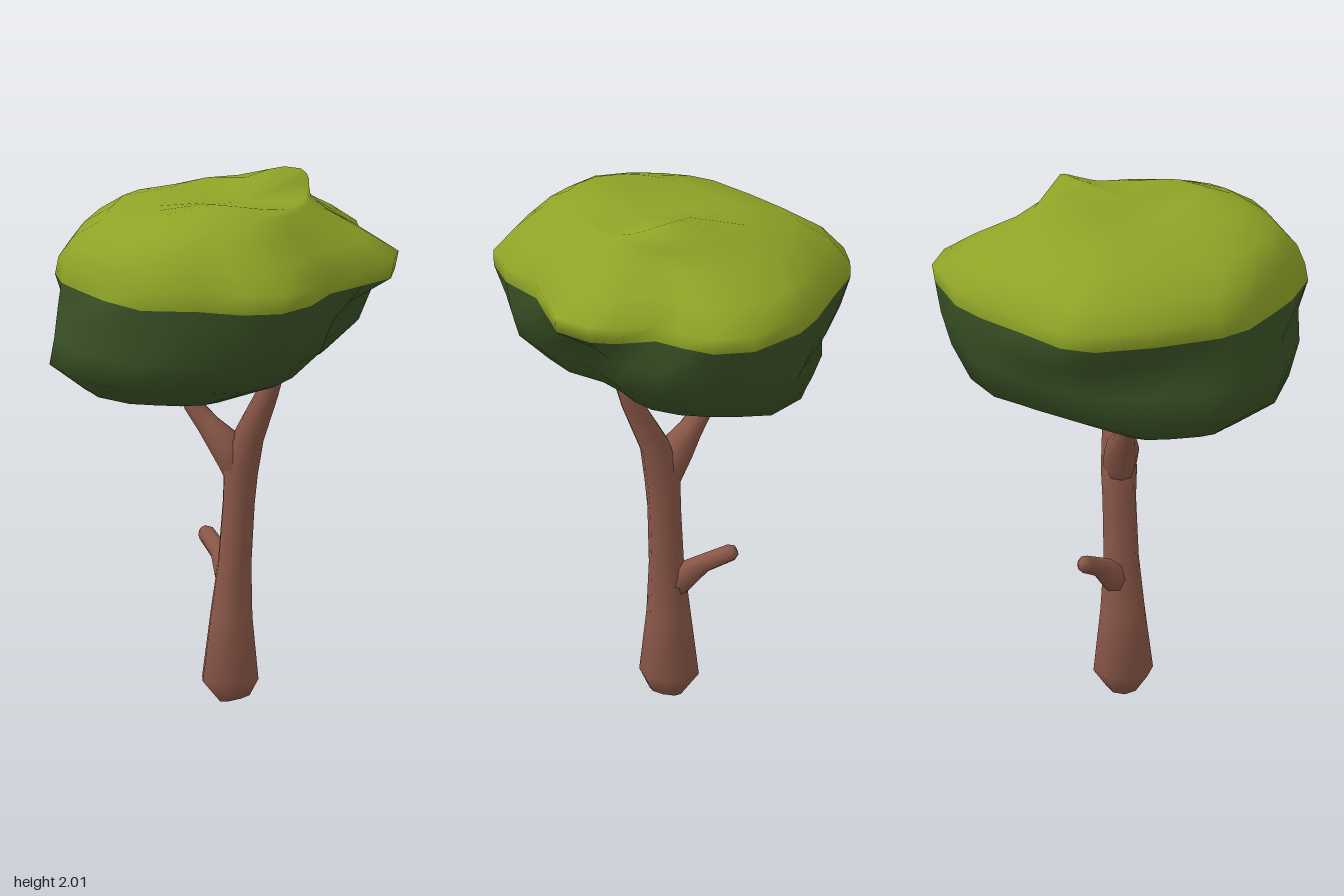
import * as THREE from 'three';

const bark = new THREE.MeshStandardMaterial({ color: 0x8a5748 });
bark.name = 'bark brown';
const leafLight = new THREE.MeshStandardMaterial({ color: 0x8fa326 });
leafLight.name = 'leaf light green';
const leafDark = new THREE.MeshStandardMaterial({ color: 0x3a5226 });
leafDark.name = 'leaf dark green';

// Skin a closed stack of rings (arrays of Vector3), from bottom point to top point
function loft(rings, bottom, top) {
  const n = rings[0].length;
  const points = [...rings.flat(), bottom, top];
  const b = points.length - 2, t = points.length - 1, last = (rings.length - 1) * n;
  const index = [];
  for (let j = 0; j < n; j++) index.push(b, j, (j + 1) % n);
  for (let i = 0; i < rings.length - 1; i++) {
    for (let j = 0; j < n; j++) {
      const a0 = i * n + j, a1 = i * n + (j + 1) % n;
      index.push(a0, a0 + n, a1, a1, a0 + n, a1 + n);
    }
  }
  for (let j = 0; j < n; j++) index.push(t, last + (j + 1) % n, last + j);
  const geometry = new THREE.BufferGeometry().setFromPoints(points);
  geometry.setIndex(index);
  geometry.computeVertexNormals();
  return geometry;
}

// Tapered limb along [x, y, z, radius] stations
function limb(name, stations, sides = 8) {
  const centres = stations.map(([x, y, z]) => new THREE.Vector3(x, y, z));
  const up = new THREE.Vector3(0, 1, 0);
  const rings = centres.map((c, i) => {
    const from = centres[Math.max(i - 1, 0)], to = centres[Math.min(i + 1, centres.length - 1)];
    const turn = new THREE.Quaternion().setFromUnitVectors(up, to.clone().sub(from).normalize());
    return Array.from({ length: sides }, (_, j) => {
      const a = (j / sides) * Math.PI * 2, r = stations[i][3];
      return new THREE.Vector3(Math.cos(a) * r, 0, Math.sin(a) * r).applyQuaternion(turn).add(c);
    });
  });
  const mesh = new THREE.Mesh(loft(rings, centres[0], centres[centres.length - 1]), bark);
  mesh.name = name;
  return mesh;
}

// Plan outlines of the crown (x, z pairs), starting at the back and running clockwise
const upperOutline = [
  0.14, -0.69, 0.28, -0.62, 0.34, -0.5, 0.38, -0.39, 0.52, -0.32, 0.59, -0.25, 0.63, -0.1, 0.57, 0.04,
  0.5, 0.2, 0.5, 0.39, 0.44, 0.55, 0.31, 0.62, 0.14, 0.63, -0.07, 0.69, -0.25, 0.6, -0.38, 0.5,
  -0.5, 0.4, -0.57, 0.28, -0.62, 0.02, -0.63, -0.21, -0.57, -0.33, -0.4, -0.45, -0.23, -0.58, -0.1, -0.65,
];
const lowerOutline = [
  0.14, -0.69, 0.28, -0.62, 0.4, -0.54, 0.5, -0.45, 0.57, -0.33, 0.58, -0.22, 0.56, -0.1, 0.56, 0.04,
  0.62, 0.22, 0.6, 0.4, 0.52, 0.53, 0.35, 0.62, 0.14, 0.65, -0.07, 0.69, -0.39, 0.58, -0.48, 0.47,
  -0.58, 0.38, -0.61, 0.25, -0.61, 0, -0.63, -0.21, -0.57, -0.33, -0.34, -0.52, -0.23, -0.58, -0.1, -0.65,
];

// Crown sections: height, min x, max x, min z, max z, back-left trim, roundness
const lowerSections = [
  [1.18, -0.32, 0.02, -0.05, 0.3, 0, 0.5],
  [1.2, -0.48, 0.1, -0.2, 0.42, 0.1, 0.3],
  [1.3, -0.61, 0.35, -0.57, 0.6, 0.3, 0],
  [1.41, -0.585, 0.465, -0.63, 0.65, 0.25, 0],
  [1.53, -0.575, 0.51, -0.665, 0.65, 0, 0],
];
const upperSections = [
  [1.635, -0.63, 0.62, -0.68, 0.69, 0, 0],
  [1.7, -0.62, 0.63, -0.69, 0.68, 0, 0],
  [1.78, -0.55, 0.52, -0.58, 0.65, -0.1, 0.25],
  [1.86, -0.42, 0.4, -0.42, 0.58, -0.25, 0.6],
  [1.915, -0.23, 0.33, -0.32, 0.47, -0.25, 0.9],
];

function section([y, x0, x1, z0, z1, trim, round], outline) {
  const ring = [];
  for (let i = 0; i < outline.length; i += 2) {
    const p = new THREE.Vector2(outline[i] / 0.63, outline[i + 1] / 0.69);
    p.lerp(p.clone().normalize(), round);
    if (p.x < 0 && p.y < 0) p.multiplyScalar(1 - trim * p.x * p.y);
    ring.push(new THREE.Vector3(
      (x0 + x1) / 2 + p.x * (x1 - x0) / 2, y, (z0 + z1) / 2 + p.y * (z1 - z0) / 2,
    ));
  }
  return ring;
}

// Inner top ring, rising to a tall hump at the back and a lower one in front
function humps() {
  const ring = section([1.92, -0.06, 0.3, -0.2, 0.29, 0, 1], upperOutline);
  for (const p of ring) {
    const v = (p.z - 0.045) / 0.245;
    p.y += (v < 0 ? 0.08 : 0.04) * v * v;
    if (v < 0) p.x += 0.07 * v * v;
  }
  return ring;
}

export function createModel() {
  const tree = new THREE.Group();
  tree.name = 'tree';

  // Trunk running on into the taller branch
  tree.add(limb('trunk', [
    [0.04, 0, 0.01, 0.06], [0.022, 0.075, 0.01, 0.112], [0.026, 0.32, 0.008, 0.083],
    [0.038, 0.52, 0.005, 0.066], [0.052, 0.75, 0, 0.063], [0.06, 0.87, 0, 0.068],
    [0.095, 1.01, 0, 0.058], [0.18, 1.19, 0.028, 0.041], [0.21, 1.275, 0.035, 0.036], [0.217, 1.308, 0.035, 0.02],
  ]));
  // Shorter fork, thick where it joins the trunk
  tree.add(limb('forkBranch', [
    [0.06, 0.8, 0, 0.04], [0.035, 0.9, 0, 0.064], [-0.005, 0.97, 0, 0.066],
    [-0.07, 1.035, 0, 0.046], [-0.13, 1.105, 0, 0.037], [-0.175, 1.2, 0, 0.034], [-0.2, 1.26, 0, 0.025],
  ]));
  // Cut stub low on the back
  tree.add(limb('stub', [
    [0.03, 0.41, 0, 0.055], [-0.01, 0.475, -0.042, 0.054], [-0.06, 0.525, -0.092, 0.036],
    [-0.138, 0.573, -0.16, 0.033], [-0.152, 0.583, -0.172, 0.02],
  ]));

  // Leafy crown: dark underside, light top
  const rings = [
    ...lowerSections.map((s) => section(s, lowerOutline)),
    ...upperSections.map((s) => section(s, upperOutline)),
    humps(),
  ];
  const geometry = loft(rings, new THREE.Vector3(-0.15, 1.178, 0.15), new THREE.Vector3(0.1, 1.92, 0.06));
  const sides = rings[0].length;
  const split = sides * 3 + lowerSections.length * sides * 6;
  geometry.addGroup(0, split, 0);
  geometry.addGroup(split, geometry.index.count - split, 1);
  const crown = new THREE.Mesh(geometry, [leafDark, leafLight]);
  crown.name = 'crown';
  tree.add(crown);

  return tree;
}
